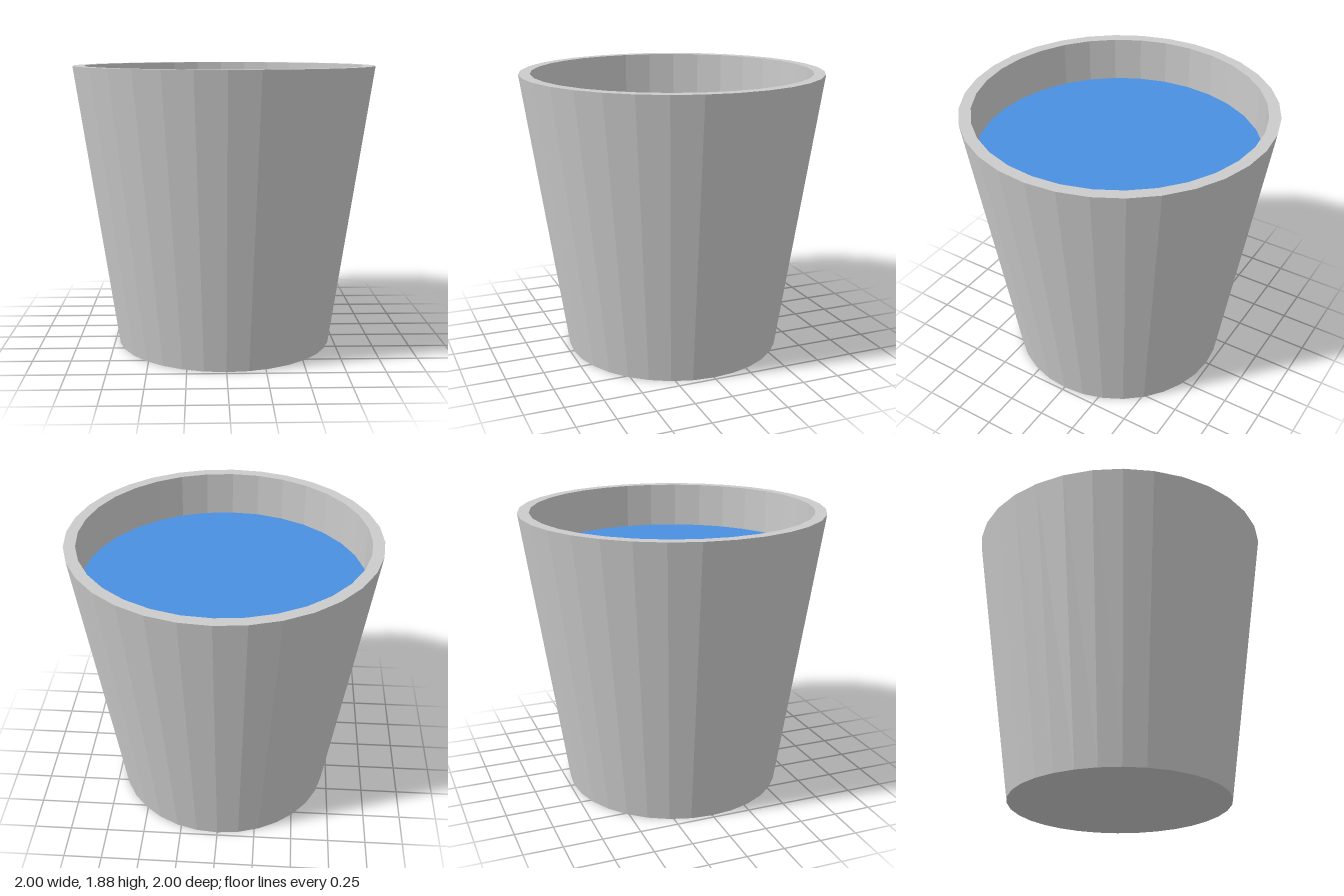
import * as THREE from 'three';

const SIDES = 32;
const HEIGHT = 1.88;
const RIM_INNER = 0.925;
const WATER_LEVEL = 1.58;

export function createModel() {
  const group = new THREE.Group();
  group.name = 'bucket';

  // Tapered body: base, outer wall, flat rim and straight inner wall
  const profile = [
    [0, 0],
    [0.725, 0],
    [1, HEIGHT],
    [RIM_INNER, HEIGHT],
    [RIM_INNER, WATER_LEVEL],
  ].map(([r, y]) => new THREE.Vector2(r, y));
  const body = new THREE.Mesh(
    new THREE.LatheGeometry(profile, SIDES),
    new THREE.MeshStandardMaterial({ color: 0xcccccc, flatShading: true })
  );
  body.name = 'bucketBody';
  group.add(body);

  // Water surface, filling the inside from wall to wall
  const water = new THREE.Mesh(
    new THREE.CircleGeometry(RIM_INNER, SIDES).rotateX(-Math.PI / 2),
    new THREE.MeshStandardMaterial({ color: 0x4a90e2 })
  );
  water.name = 'waterSurface';
  water.position.y = WATER_LEVEL;
  group.add(water);

  return group;
}
